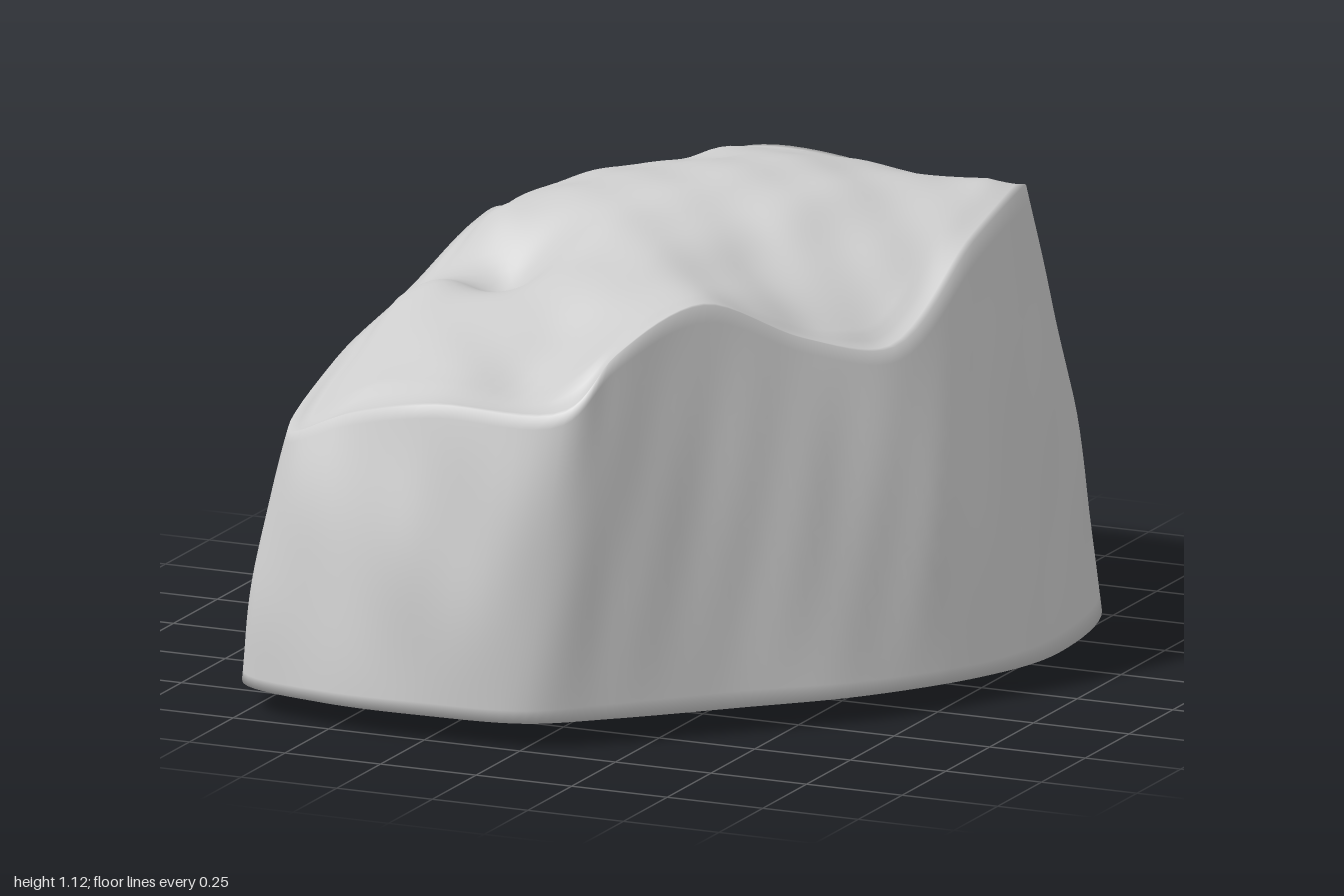
import * as THREE from 'three';

// Columns round the rock: foot x, foot z, rim x, rim z, rim height
const COLUMNS = [
  [0.0, 0.97, 0.03, 0.81, 0.79], [-0.25, 1.0, -0.3, 0.84, 0.78], [-0.52, 0.99, -0.55, 0.8, 0.72],
  [-0.77, 0.9, -0.7, 0.79, 0.66], [-0.8, 0.6, -0.71, 0.5, 0.77], [-0.83, 0.2, -0.7, 0.1, 0.85],
  [-0.84, -0.1, -0.66, -0.16, 0.95], [-0.83, -0.4, -0.69, -0.45, 0.92], [-0.81, -0.66, -0.67, -0.75, 0.73],
  [-0.6, -0.87, -0.5, -0.83, 0.88], [-0.34, -0.92, -0.29, -0.87, 1.01], [0.0, -1.0, 0.0, -0.86, 1.02],
  [0.33, -0.98, 0.3, -0.82, 0.95], [0.58, -0.82, 0.5, -0.72, 1.0], [0.79, -0.6, 0.61, -0.55, 1.09],
  [0.84, -0.25, 0.61, -0.26, 1.02], [0.8, 0.1, 0.55, 0.06, 0.83], [0.62, 0.4, 0.4, 0.25, 0.88],
  [0.4, 0.62, 0.23, 0.45, 0.99], [0.17, 0.84, 0.11, 0.69, 0.91],
];

// Peaks, ridges and hollows of the top: x, z, height
const RELIEF = [
  [-0.5, -0.58, 0.99], [-0.2, -0.6, 1.06], [0.1, -0.6, 1.09], [0.35, -0.5, 1.1], [0.52, -0.5, 1.1],
  [0.28, -0.72, 1.03], [-0.5, -0.3, 1.03], [-0.25, -0.25, 1.08], [-0.02, -0.2, 1.11],
  [0.2, -0.18, 1.08], [0.42, -0.18, 1.02], [0.35, 0.03, 0.92], [0.15, 0.03, 0.99],
  [0.2, 0.22, 0.97], [-0.04, 0.1, 1.03], [-0.25, 0.06, 1.03], [0.02, 0.32, 0.99],
  [-0.22, 0.3, 0.97], [-0.15, 0.5, 0.88], [0.05, 0.53, 0.94], [-0.12, 0.68, 0.8],
  [-0.35, 0.64, 0.83], [-0.4, 0.4, 0.9], [-0.43, 0.13, 0.88], [-0.55, -0.1, 1.02],
  [-0.56, 0.06, 0.91], [-0.55, 0.27, 0.92], [-0.57, 0.52, 0.83],
];

const SIDES = 160;
const WALL = 24;
const TOP = 36;

// Underside: a shallow bulge on the right, a lifted notch at the back left
const floorY = (x, z) => 0.06
  - 0.06 * Math.exp(-((x - 0.58) ** 2 + (z + 0.3) ** 2) / 0.07)
  + 0.1 * Math.exp(-((x + 0.46) ** 2 + (z + 0.92) ** 2) / 0.03);

const roughness = (x, y, z) =>
  0.006 * Math.sin(11 * x + 5 * y + 2) * Math.sin(9 * z - 4 * y) +
  0.004 * Math.sin(23 * x - 7 * z) * Math.sin(19 * z + 11 * y + 1);

function loop(points) {
  const curve = new THREE.CatmullRomCurve3(points, true, 'centripetal');
  return Array.from({ length: SIDES }, (_, i) => curve.getPoint(i / SIDES));
}

// Smooth height surface passing exactly through the given points
function heightSurface(points) {
  const kernel = (ax, az, bx, bz) => Math.sqrt((ax - bx) ** 2 + (az - bz) ** 2 + 0.003);
  const n = points.length;
  const base = 0.95;
  const m = points.map(([x, z, y]) => [...points.map(([px, pz]) => kernel(x, z, px, pz)), y - base]);
  for (let c = 0; c < n; c++) {
    let pivot = c;
    for (let r = c + 1; r < n; r++) if (Math.abs(m[r][c]) > Math.abs(m[pivot][c])) pivot = r;
    [m[c], m[pivot]] = [m[pivot], m[c]];
    for (let r = 0; r < n; r++) {
      if (r === c) continue;
      const f = m[r][c] / m[c][c];
      for (let k = c; k <= n; k++) m[r][k] -= f * m[c][k];
    }
  }
  const weights = m.map((row, i) => row[n] / row[i]);
  return (x, z) => points.reduce((sum, [px, pz], i) => sum + weights[i] * kernel(x, z, px, pz), base);
}

function rockGeometry() {
  const foot = loop(COLUMNS.map(([x, z]) => new THREE.Vector3(x, floorY(x, z), z)));
  const rim = loop(COLUMNS.map((c) => new THREE.Vector3(c[2], c[4], c[3])));
  const topHeight = heightSurface([...RELIEF, ...COLUMNS.map((c) => c.slice(2))]);
  const centre = new THREE.Vector3(-0.06, 0, -0.05);
  const rings = [];

  // Underside, from its middle out to the foot
  for (const s of [0.005, 0.2, 0.4, 0.6, 0.7, 0.8, 0.87, 0.94]) {
    rings.push(foot.map((p) => {
      const x = THREE.MathUtils.lerp(centre.x, p.x, s);
      const z = THREE.MathUtils.lerp(centre.z, p.z, s);
      return new THREE.Vector3(x, floorY(x, z), z);
    }));
  }

  // Leaning side walls, slightly bulging
  for (let j = 0; j <= WALL; j++) {
    const t = j / WALL;
    rings.push(foot.map((p, i) => {
      const v = p.clone().lerp(rim[i], t);
      const out = new THREE.Vector3(v.x - centre.x, 0, v.z - centre.z).normalize();
      const fade = Math.sin(Math.PI * t);
      return v.addScaledVector(out, fade * (0.02 + roughness(v.x, v.y, v.z)));
    }));
  }

  // Rugged top, from the rim in to the middle
  for (let j = 1; j <= TOP; j++) {
    const s = 1 - 0.995 * (j / TOP);
    rings.push(rim.map((p) => {
      const x = THREE.MathUtils.lerp(centre.x, p.x, s);
      const z = THREE.MathUtils.lerp(centre.z, p.z, s);
      const y = topHeight(x, z) + roughness(x, 0, z);
      return new THREE.Vector3(x, THREE.MathUtils.lerp(p.y, y, Math.min(1, (1 - s) * 9)), z);
    }));
  }

  const index = [];
  for (let j = 0; j < rings.length - 1; j++) {
    for (let i = 0; i < SIDES; i++) {
      const k = (i + 1) % SIDES;
      const a = j * SIDES + i, b = j * SIDES + k;
      const c = a + SIDES, d = b + SIDES;
      index.push(a, c, b, b, c, d);
    }
  }
  // Close the two small holes in the middle
  const last = (rings.length - 1) * SIDES;
  for (let i = 1; i < SIDES - 1; i++) {
    index.push(0, i, i + 1, last, last + i + 1, last + i);
  }

  const geometry = new THREE.BufferGeometry().setFromPoints(rings.flat());
  geometry.setIndex(index);
  geometry.computeVertexNormals();
  return geometry;
}

export function createModel() {
  const group = new THREE.Group();
  group.name = 'boulder';
  const rock = new THREE.Mesh(rockGeometry(), new THREE.MeshStandardMaterial({ color: 0xcccccc }));
  rock.name = 'rock';
  group.add(rock);
  return group;
}
